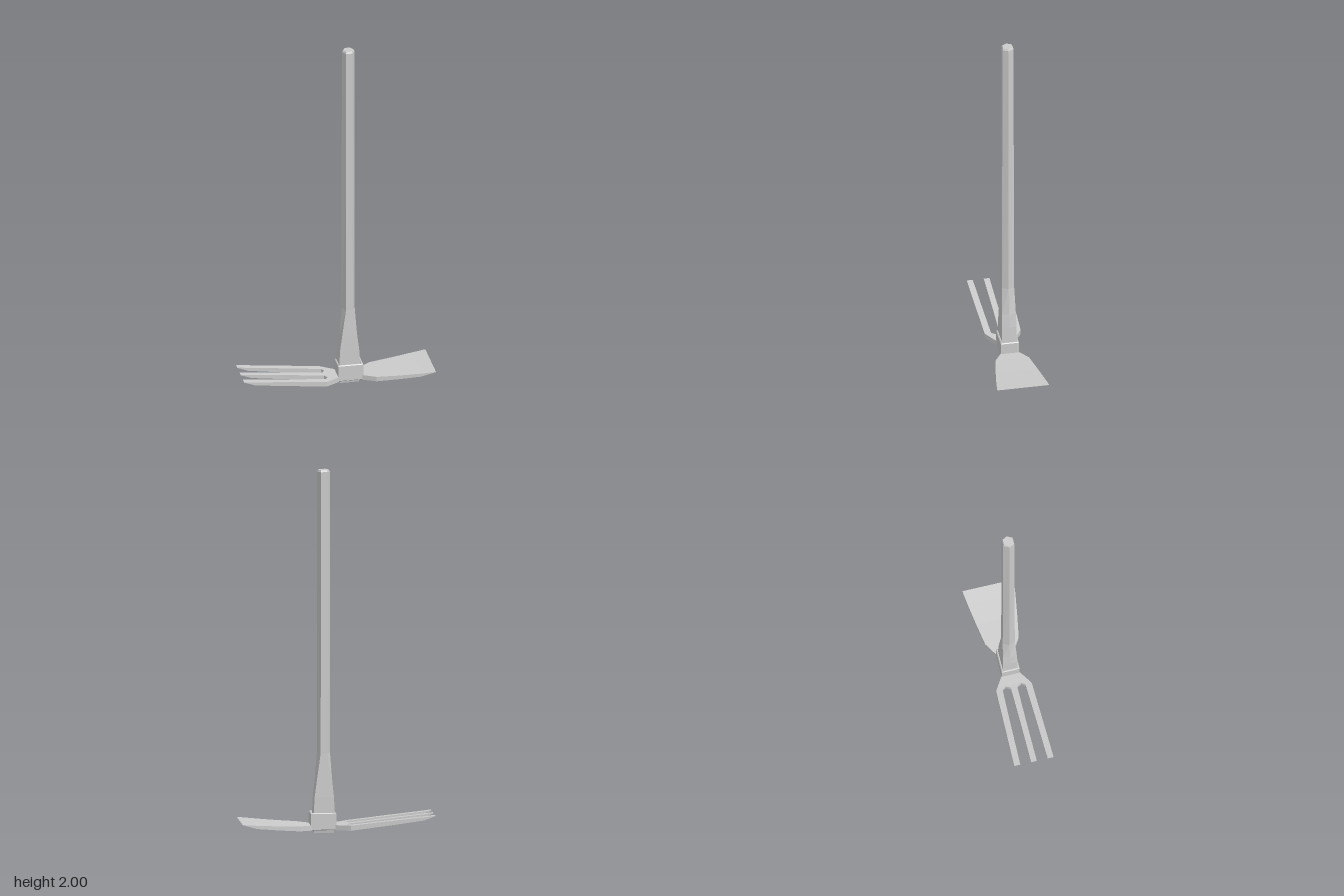
import * as THREE from 'three';

const steel = new THREE.MeshStandardMaterial({ color: 0xcccccc, flatShading: true });
const CX = 0.071; // centre line of the handle

// Skin a list of equal-length rings (counter-clockwise about the direction of travel), with end caps
function loft(name, rings) {
  const n = rings[0].length, index = [];
  for (let r = 0; r < rings.length - 1; r++) {
    for (let i = 0; i < n; i++) {
      const a = r * n + i, b = r * n + (i + 1) % n;
      index.push(a, b, b + n, a, b + n, a + n);
    }
  }
  const last = (rings.length - 1) * n;
  for (let i = 1; i < n - 1; i++) index.push(0, i + 1, i, last, last + i, last + i + 1);
  const indexed = new THREE.BufferGeometry();
  indexed.setAttribute('position', new THREE.Float32BufferAttribute(rings.flat(2), 3));
  indexed.setIndex(index);
  const geometry = indexed.toNonIndexed();
  geometry.computeVertexNormals();
  const mesh = new THREE.Mesh(geometry, steel);
  mesh.name = name;
  return mesh;
}

// Flat bar running along +x; each section is [x, zMin, zMax, yLow, yHigh]
const bar = (name, sections) => loft(name, sections.map(([x, z0, z1, lo, hi]) =>
  [[x, lo, z0], [x, hi, z0], [x, hi, z1], [x, lo, z1]]));

// Six-sided handle section; m is the half width of its front and back flats
const handleRing = ([y, hx, hz, m]) =>
  [[hx, 0], [m, -hz], [-m, -hz], [-hx, 0], [-m, hz], [m, hz]].map(([x, z]) => [CX + x, y, z]);

function rectangle(PathType, hx, hz) {
  return new PathType([[-hx, -hz], [hx, -hz], [hx, hz], [-hx, hz]].map(p => new THREE.Vector2(...p)));
}

export function createModel() {
  const model = new THREE.Group();
  model.name = 'gardenMattock';

  // Handle: rectangular foot flaring into a hexagonal shaft
  model.add(loft('handle', [
    [0, 0.054, 0.03, 0.054],
    [0.03, 0.056, 0.036, 0.056],
    [0.11, 0.058, 0.041, 0.058],
    [0.2, 0.054, 0.041, 0.053],
    [0.28, 0.049, 0.039, 0.042],
    [0.44, 0.036, 0.034, 0.019],
    [1.2, 0.036, 0.032, 0.018],
    [1.99, 0.035, 0.031, 0.018],
    [2, 0.029, 0.026, 0.015],
  ].map(handleRing)));

  // Rectangular socket around the foot, with a bevelled rim
  const frame = rectangle(THREE.Shape, 0.066, 0.046);
  frame.holes.push(rectangle(THREE.Path, 0.062, 0.042));
  const socketGeometry = new THREE.ExtrudeGeometry(frame, {
    depth: 0.087, bevelThickness: 0.004, bevelSize: 0.004, bevelSegments: 1,
  });
  socketGeometry.rotateX(-Math.PI / 2);
  const socket = new THREE.Mesh(socketGeometry, steel);
  socket.name = 'socket';
  socket.position.set(CX + 0.005, 0.022, 0);
  model.add(socket);

  // Hoe blade, flaring and curving up to a sharp edge
  model.add(bar('hoeBlade', [
    [0.14, -0.05, 0.05, 0.018, 0.046],
    [0.21, -0.094, 0.094, 0.022, 0.049],
    [0.33, -0.115, 0.115, 0.033, 0.055],
    [0.45, -0.134, 0.134, 0.046, 0.064],
    [0.53, -0.144, 0.144, 0.07, 0.071],
  ]));

  // Fork: a yoke that splits into three tines
  const fork = new THREE.Group();
  fork.name = 'fork';
  fork.add(bar('forkYoke', [
    [-0.053, -0.091, 0.091, 0.02, 0.048],
    [0.011, -0.05, 0.05, 0.018, 0.046],
  ]));
  const heights = [[-0.53, 0.095, 0.097], [-0.47, 0.072, 0.09], [-0.3, 0.049, 0.073],
    [-0.068, 0.021, 0.049], [-0.053, 0.02, 0.048]];
  const tine = (name, spans) =>
    fork.add(bar(name, heights.map(([x, lo, hi], i) => [x, ...spans[i], lo, hi])));
  const outer = [[0.077, 0.11], [0.075, 0.109], [0.071, 0.105], [0.064, 0.1], [0.043, 0.091]];
  tine('middleTine', [0.016, 0.016, 0.016, 0.018, 0.043].map(z => [-z, z]));
  tine('frontTine', outer);
  tine('backTine', outer.map(([a, b]) => [-b, -a]));
  model.add(fork);

  return model;
}
